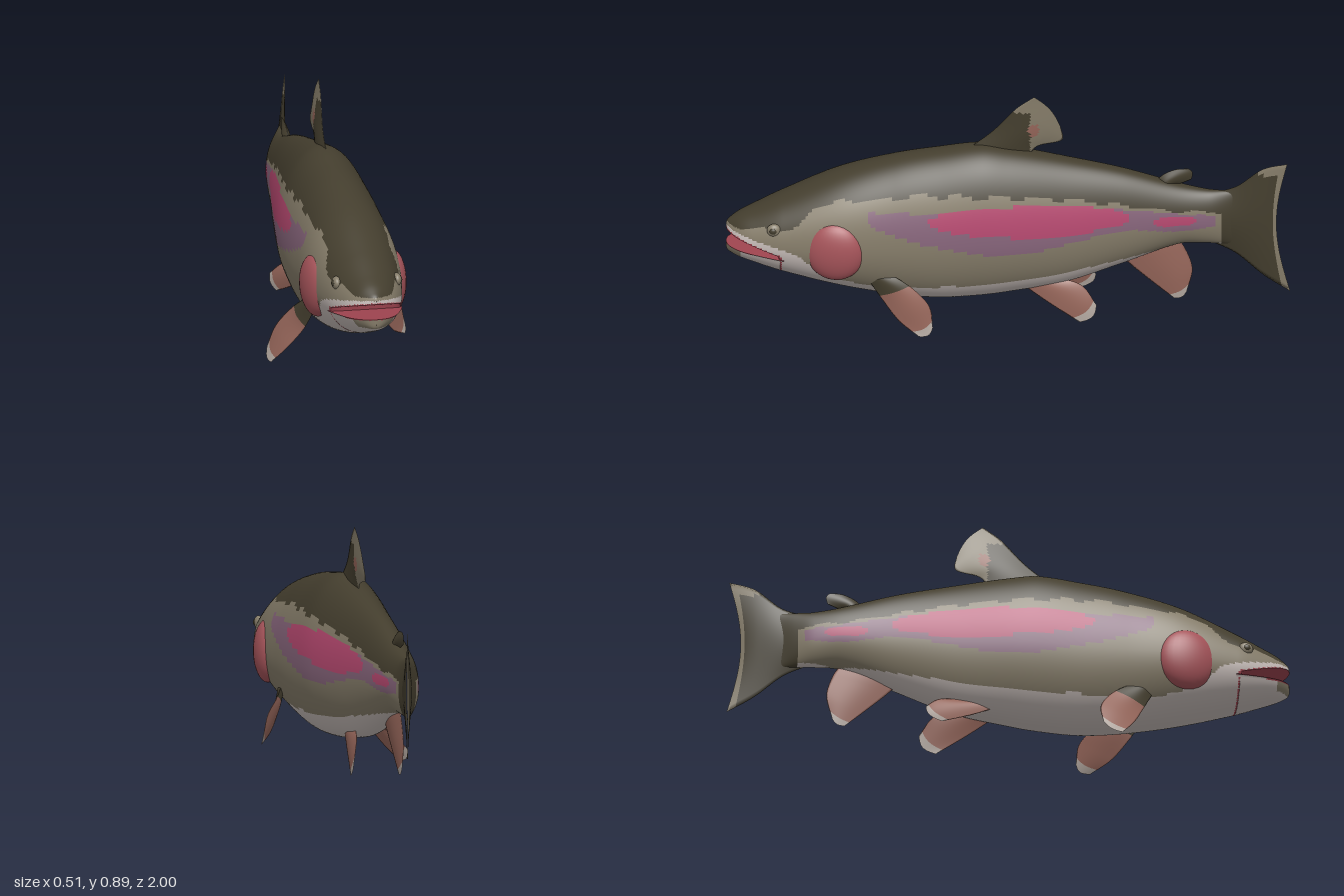
import * as THREE from 'three';

const names = ['oliveBack', 'greySide', 'paleBelly', 'mauveBand', 'pinkStripe', 'redGill', 'finBrown', 'finEdge', 'mouthRed'];
const colours = [0x443e2e, 0x857c69, 0xc6bcb8, 0x86647a, 0xb5486f, 0xa6545a, 0x96665a, 0xb3a8a0, 0xa04550];
const mats = colours.map((color, i) => {
  const m = new THREE.MeshStandardMaterial({ color });
  m.name = names[i];
  return m;
});
const [BACK, SIDE, BELLY, MAUVE, PINK, GILL, FIN, EDGE, MOUTH] = names.keys();

// Smooth lookup in rows [z, a, b, ...] sorted by rising z
function lookup(rows, z, col) {
  const n = rows.length;
  if (z <= rows[0][0]) return rows[0][col];
  if (z >= rows[n - 1][0]) return rows[n - 1][col];
  let i = 0;
  while (rows[i + 1][0] < z) i++;
  const slope = k => {
    const a = rows[Math.max(k - 1, 0)], b = rows[Math.min(k + 1, n - 1)];
    return (b[col] - a[col]) / (b[0] - a[0]);
  };
  const h = rows[i + 1][0] - rows[i][0], t = (z - rows[i][0]) / h, t2 = t * t, t3 = t2 * t;
  return (2 * t3 - 3 * t2 + 1) * rows[i][col] + (t3 - 2 * t2 + t) * h * slope(i)
    + (3 * t2 - 2 * t3) * rows[i + 1][col] + (t3 - t2) * h * slope(i + 1);
}

// Closed-ring loft whose faces are grouped by colour
function loft(name, nu, nv, point, colour) {
  const pos = [], faces = mats.map(() => []);
  for (let i = 0; i <= nu; i++)
    for (let j = 0; j < nv; j++) pos.push(...point(i / nu, j / nv));
  for (let i = 0; i < nu; i++)
    for (let j = 0; j < nv; j++) {
      const a = i * nv + j, b = i * nv + (j + 1) % nv, c = a + nv, d = b + nv;
      const mid = [0, 1, 2].map(k => (pos[a * 3 + k] + pos[b * 3 + k] + pos[c * 3 + k] + pos[d * 3 + k]) / 4);
      faces[colour(mid, (i + 0.5) / nu)].push(a, b, c, b, d, c);
    }
  const g = new THREE.BufferGeometry();
  g.setAttribute('position', new THREE.Float32BufferAttribute(pos, 3));
  g.setIndex(faces.flat());
  let start = 0;
  faces.forEach((f, m) => {
    if (f.length) g.addGroup(start, f.length, m);
    start += f.length;
  });
  g.computeVertexNormals();
  const mesh = new THREE.Mesh(g, mats);
  mesh.name = name;
  return mesh;
}

// Body profile: z, top, bottom, half width, centre x
const body = [
  [-0.82, 0.53, 0.32, 0.008, 0.032], [-0.76, 0.53, 0.32, 0.03, 0.018], [-0.7, 0.53, 0.32, 0.048, 0.007],
  [-0.6, 0.55, 0.315, 0.066, 0], [-0.4, 0.61, 0.24, 0.094, 0], [-0.2, 0.655, 0.17, 0.125, 0],
  [0, 0.695, 0.135, 0.155, 0], [0.1, 0.708, 0.122, 0.164, 0], [0.25, 0.69, 0.115, 0.17, 0],
  [0.4, 0.665, 0.13, 0.171, 0], [0.6, 0.61, 0.17, 0.168, 0], [0.8, 0.52, 0.225, 0.135, 0],
  [0.9, 0.47, 0.258, 0.103, 0], [0.95, 0.445, 0.275, 0.079, 0], [0.98, 0.425, 0.288, 0.052, 0],
  [0.995, 0.412, 0.298, 0.027, 0], [1, 0.4, 0.31, 0, 0]];
const upperLip = z => 0.325 + (z - 0.8) * 0.31;
const lowerLip = z => 0.315 + (z - 0.8) * 0.08;
function bodyPoint(z, v) {
  const [top, bottom, w, cx] = [1, 2, 3, 4].map(c => lookup(body, z, c));
  const a = v * Math.PI * 2, yc = bottom + 0.45 * (top - bottom), c = Math.cos(a);
  return [cx + w * Math.sin(a), yc + c * (c > 0 ? top - yc : yc - bottom), z];
}

// Heights of the colour borders along the flank: z, back border, belly border, mauve top, mauve bottom
const borders = [
  [-0.75, 0.46, 0.33, 0.445, 0.41], [-0.6, 0.47, 0.315, 0.46, 0.39], [-0.4, 0.505, 0.28, 0.49, 0.41],
  [-0.2, 0.54, 0.245, 0.51, 0.37], [0, 0.56, 0.22, 0.515, 0.34], [0.3, 0.57, 0.205, 0.51, 0.395],
  [0.45, 0.555, 0.205, 0.51, 0.445], [0.6, 0.54, 0.24, 0.48, 0.48], [0.69, 0.51, 0.29, 0, 0],
  [0.75, 0.445, 0.34, 0, 0], [0.9, 0.42, 0.38, 0, 0], [1, 0.405, 0.4, 0, 0]];
const inOval = (z, y, cz, cy, rz, ry) => ((z - cz) / rz) ** 2 + ((y - cy) / ry) ** 2 < 1;
function skin([x, y, z]) {
  const [back, belly, mTop, mBottom] = [1, 2, 3, 4].map(c => lookup(borders, z, c));
  if (z < -0.75) return BACK;
  if (z > 0.8 && y < upperLip(z) + 0.004) return y > upperLip(z) - 0.1 ? MOUTH : BELLY;
  if (y > back + 0.006 * Math.sin(z * 45)) return BACK;
  if (inOval(z, y, -0.07, 0.47 + z * 0.03, 0.36, 0.058) || inOval(z, y, -0.585, 0.432, 0.08, 0.02)) return PINK;
  if (z < 0.5 && z > -0.73 && y < mTop && y > mBottom) return MAUVE;
  return y < belly ? BELLY : SIDE;
}

// Fin between a leading and a trailing edge; bulge rounds or notches the tip
function fin(name, lead, trail, thick, bulge, colour) {
  const curve = p => new THREE.CatmullRomCurve3(p.map(q => new THREE.Vector3(...q)));
  const L = curve(lead), T = curve(trail);
  const dir = L.getPoint(1).add(T.getPoint(1)).sub(L.getPoint(0)).sub(T.getPoint(0)).normalize();
  return loft(name, 28, 48, (s, v) => {
    const t = v < 0.5 ? 2 * v : 2 - 2 * v, arch = Math.sin(Math.PI * t);
    const p = L.getPoint(s).lerp(T.getPoint(s), t).addScaledVector(dir, bulge * arch * s ** 4);
    p.x += (v < 0.5 ? 1 : -1) * thick * arch * (1 - s * s * 0.95);
    return p.toArray();
  }, colour);
}

export function createModel() {
  const fish = new THREE.Group();
  fish.name = 'trout';

  // Body with the roof of the open mouth
  fish.add(loft('body', 210, 112, (u, v) => {
    const p = bodyPoint(1 - 1.82 * u ** 1.3, v);
    if (p[2] > 0.81) p[1] = Math.max(p[1], upperLip(p[2]));
    return p;
  }, skin));

  // Lower jaw
  fish.add(loft('lowerJaw', 40, 80, (u, v) => {
    const p = bodyPoint(1 - 0.205 * u ** 1.4, v);
    p[1] = Math.min(p[1], lowerLip(p[2]));
    return p;
  }, ([x, y, z]) => y > lowerLip(z) - 0.003 ? MOUTH : z > 0.95 && y > 0.295 ? SIDE : BELLY));

  // Gill covers and eyes
  for (const s of [1, -1]) {
    const ball = (name, m, r, x, y, z) => {
      const b = new THREE.Mesh(new THREE.SphereGeometry(1, 32, 20), mats[m]);
      b.name = name;
      b.scale.set(...r);
      b.position.set(s * x, y, z);
      fish.add(b);
      return b;
    };
    ball('gillCover', GILL, [0.05, 0.112, 0.106], 0.138, 0.357, 0.615).rotation.y = -s * 0.15;
    ball('eye', SIDE, [0.016, 0.024, 0.026], 0.109, 0.425, 0.83);
    ball('pupil', BACK, [0.008, 0.012, 0.013], 0.12, 0.426, 0.833);
  }

  // Tail fin, swept to the left
  fish.add(fin('tailFin',
    [[0.008, 0.515, -0.7], [0.03, 0.55, -0.8], [0.058, 0.635, -0.9], [0.085, 0.668, -0.985]],
    [[0.008, 0.33, -0.7], [0.03, 0.29, -0.8], [0.058, 0.215, -0.9], [0.085, 0.163, -0.995]],
    0.02, -0.045, ([x, y, z], s) => s > 0.9 || y > 0.61 ? SIDE : BACK));

  // Dorsal and adipose fins
  fish.add(fin('dorsalFin',
    [[0, 0.68, 0.16], [0.004, 0.76, 0.06], [0.015, 0.86, -0.03], [0.02, 0.905, -0.09]],
    [[0, 0.66, -0.07], [0.003, 0.7, -0.1], [0.008, 0.73, -0.19], [0.014, 0.78, -0.185]],
    0.012, 0.015, ([x, y, z]) => inOval(z, y, -0.09, 0.77, 0.02, 0.025) ? FIN
      : z < -0.075 || y > 0.84 ? SIDE : BACK));
  fish.add(fin('adiposeFin',
    [[0, 0.54, -0.51], [0, 0.58, -0.54], [0, 0.605, -0.59], [0, 0.608, -0.635]],
    [[0, 0.53, -0.58], [0, 0.545, -0.59], [0, 0.55, -0.61], [0, 0.565, -0.645]],
    0.016, 0.012, () => BACK));

  // Anal fin
  const edged = (p, s) => s > 0.88 ? EDGE : FIN;
  fish.add(fin('analFin',
    [[0, 0.27, -0.39], [0, 0.22, -0.44], [0, 0.14, -0.53], [0, 0.093, -0.585]],
    [[0, 0.33, -0.6], [0, 0.29, -0.625], [0, 0.21, -0.65], [0, 0.12, -0.63]],
    -0.012, 0.01, edged));

  // Paired pelvic fins
  fish.add(fin('leftPelvicFin',
    [[0.045, 0.18, -0.04], [0.062, 0.11, -0.14], [0.08, 0.04, -0.25]],
    [[0.045, 0.2, -0.18], [0.06, 0.175, -0.26], [0.083, 0.11, -0.31]],
    -0.01, 0.02, edged));
  fish.add(fin('rightPelvicFin',
    [[-0.045, 0.18, -0.04], [-0.07, 0.13, -0.14], [-0.1, 0.085, -0.25]],
    [[-0.045, 0.2, -0.18], [-0.08, 0.18, -0.26], [-0.112, 0.135, -0.31]],
    -0.01, 0.02, edged));

  // Paired pectoral fins with dark roots
  const rooted = (p, s) => s < 0.3 ? BACK : edged(p, s);
  fish.add(fin('leftPectoralFin',
    [[0.125, 0.24, 0.5], [0.145, 0.17, 0.45], [0.19, 0.105, 0.39], [0.245, 0.07, 0.32]],
    [[0.135, 0.27, 0.43], [0.185, 0.23, 0.34], [0.235, 0.18, 0.28], [0.252, 0.11, 0.27]],
    -0.012, 0.015, rooted));
  fish.add(fin('rightPectoralFin',
    [[-0.12, 0.23, 0.5], [-0.15, 0.15, 0.46], [-0.205, 0.07, 0.42], [-0.25, 0.01, 0.375]],
    [[-0.13, 0.26, 0.43], [-0.17, 0.2, 0.35], [-0.22, 0.12, 0.3], [-0.25, 0.05, 0.305]],
    -0.012, 0.015, rooted));

  return fish;
}
